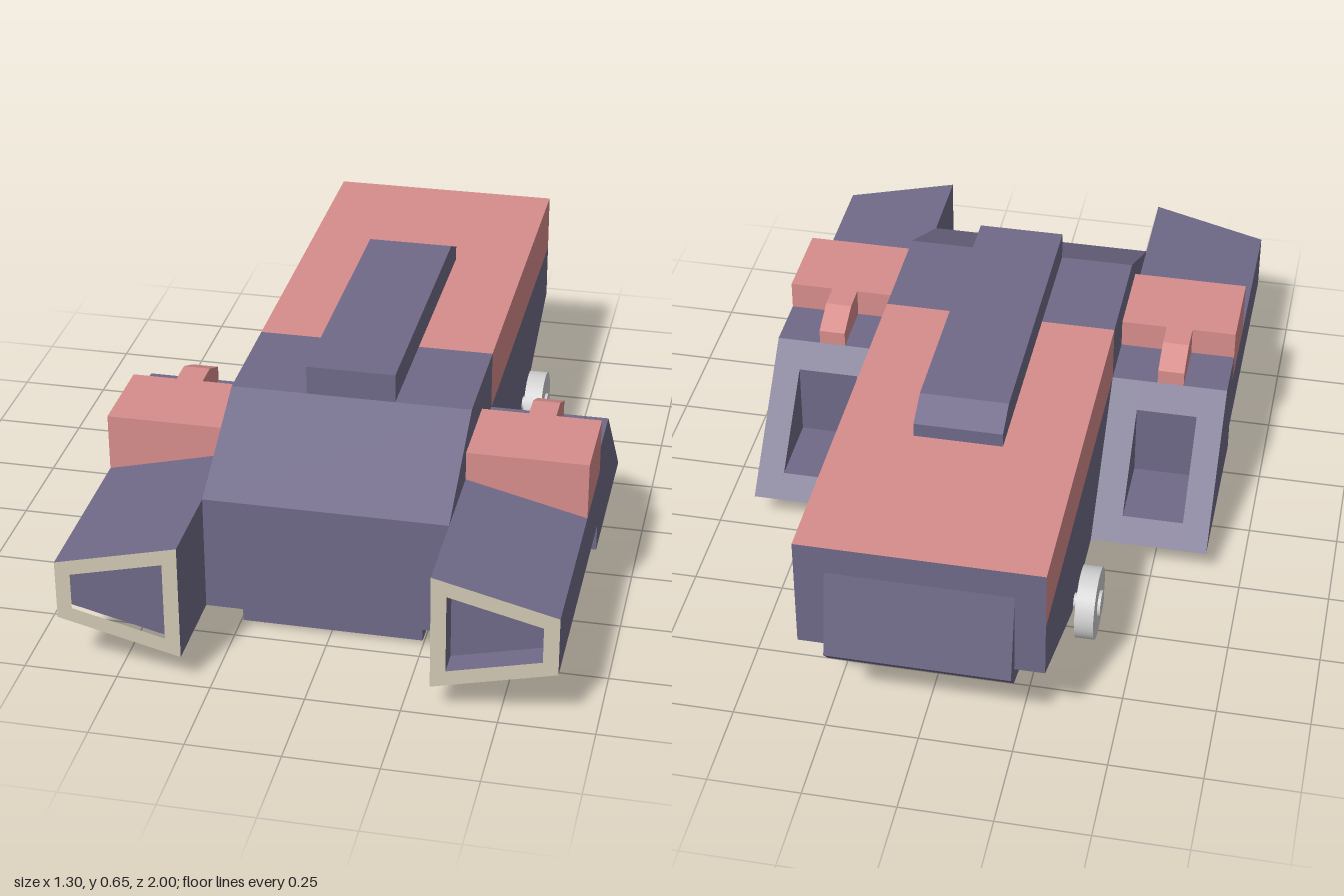
import * as THREE from 'three';

const material = (name, color) => Object.assign(new THREE.MeshStandardMaterial({ color }), { name });

const purple = material('dusty purple', 0x706a88);
const red = material('soft red', 0xd68d8b);
const beige = material('beige', 0xd0c8b3);
const grey = material('light grey', 0xd0d0d0);

function add(parent, name, geometry, mat) {
  const mesh = new THREE.Mesh(geometry, mat);
  mesh.name = name;
  parent.add(mesh);
  return mesh;
}

// Box given by its lower and upper corners
function block(x0, y0, z0, x1, y1, z1) {
  return new THREE.BoxGeometry(x1 - x0, y1 - y0, z1 - z0)
    .translate((x0 + x1) / 2, (y0 + y1) / 2, (z0 + z1) / 2);
}

// Side profile of [z, y] points, extruded from x0 to x1
function sideProfile(points, x0, x1) {
  const shape = new THREE.Shape(points.map(([z, y]) => new THREE.Vector2(-z, y)));
  return new THREE.ExtrudeGeometry(shape, { depth: x1 - x0, bevelEnabled: false })
    .rotateY(Math.PI / 2).translate(x0, 0, 0);
}

// Front outline of [x, y] points, extruded from z0 to z1
function frontProfile(points, z0, z1, hole) {
  const toVectors = (list) => list.map(([x, y]) => new THREE.Vector2(x, y));
  const shape = new THREE.Shape(toVectors(points));
  if (hole) shape.holes.push(new THREE.Path(toVectors(hole)));
  return new THREE.ExtrudeGeometry(shape, { depth: z1 - z0, bevelEnabled: false }).translate(0, 0, z0);
}

function addSidePod(parent, s) {
  const pod = new THREE.Group();
  pod.name = s > 0 ? 'leftPod' : 'rightPod';
  parent.add(pod);
  const span = (a, b) => (s > 0 ? [a, b] : [-b, -a]);

  // Tapered front boom with a framed, recessed mouth
  const outline = [[0.325, 0.085], [0.65, 0.165], [0.65, 0.33], [0.325, 0.41]].map(([x, y]) => [s * x, y]);
  const mouth = [[0.365, 0.137], [0.61, 0.197], [0.61, 0.298], [0.365, 0.358]].map(([x, y]) => [s * x, y]);
  add(pod, 'boom', frontProfile(outline, 0.265, 0.93), purple);
  add(pod, 'boomMouth', frontProfile(outline, 0.93, 1, mouth), [beige, purple]);

  // Sloped rear block, notched in the middle
  const wedge = [[0.265, 0.085], [0.265, 0.41], [0.105, 0.41], [-0.225, 0.085]];
  const notched = [[0.265, 0.085], [0.265, 0.41], [0.105, 0.41], [0.045, 0.351],
    [0.045, 0.139], [-0.17, 0.139], [-0.225, 0.085]];
  add(pod, 'rearBlockInner', sideProfile(wedge, ...span(0.325, 0.405)), purple);
  add(pod, 'rearBlockNotch', sideProfile(notched, ...span(0.405, 0.575)), purple);
  add(pod, 'rearBlockOuter', sideProfile(wedge, ...span(0.575, 0.65)), purple);

  // Red shoulder block with its short arm
  const [x0, x1] = span(0.325, 0.65);
  add(pod, 'shoulder', block(x0, 0.33, 0.265, x1, 0.49, 0.51), red);
  const arm = [[0.265, 0.41], [0.265, 0.49], [0.19, 0.49], [0.105, 0.452], [0.105, 0.41]];
  add(pod, 'shoulderArm', sideProfile(arm, ...span(0.453, 0.527)), red);
}

function addWheel(parent, s, z) {
  const wheel = new THREE.Group();
  wheel.name = (z > 0 ? 'front' : 'rear') + (s > 0 ? 'LeftWheel' : 'RightWheel');
  wheel.position.set(s * 0.367, 0.1, z);
  parent.add(wheel);
  const disc = (r, w) => new THREE.CylinderGeometry(r, r, w, 32).rotateZ(Math.PI / 2);
  add(wheel, 'tyre', disc(0.1, 0.052), grey);
  add(wheel, 'hub', disc(0.036, 0.068), grey);
  add(wheel, 'axle', disc(0.02, 0.1).translate(-s * 0.05, 0, 0), grey);
}

export function createModel() {
  const model = new THREE.Group();
  model.name = 'vehicle';

  // Main hull with sloped nose and rising tail
  const hull = [[0.75, 0.085], [0.75, 0.41], [0.43, 0.575], [0.105, 0.575], [0.105, 0.408],
    [-0.955, 0.408], [-0.955, 0.25], [-0.535, 0.085]];
  add(model, 'hull', sideProfile(hull, -0.325, 0.325), purple);

  // Red upper rear deck, purple on its back face
  add(model, 'rearDeck', block(-0.325, 0.408, -0.955, 0.325, 0.575, 0.105),
    [red, red, red, red, red, purple]);

  // Raised spine on the roof
  const spine = [[0.43, 0.575], [0.43, 0.655], [-0.385, 0.655], [-0.468, 0.615], [-0.468, 0.575]];
  add(model, 'roofSpine', sideProfile(spine, -0.12, 0.12), purple);

  // Belly and tail panel
  const belly = [[0.675, 0], [0.675, 0.085], [-0.475, 0.085], [-0.39, 0]];
  add(model, 'belly', sideProfile(belly, -0.245, 0.245), purple);
  const tail = [[-0.95, 0.52], [-1, 0.25], [-0.96, 0.205], [-0.53, 0.085], [-0.53, 0.12], [-0.95, 0.3]];
  add(model, 'tailPanel', sideProfile(tail, -0.245, 0.245), purple);

  for (const s of [1, -1]) {
    addSidePod(model, s);
    for (const z of [0.5, -0.5]) addWheel(model, s, z);
  }
  return model;
}
